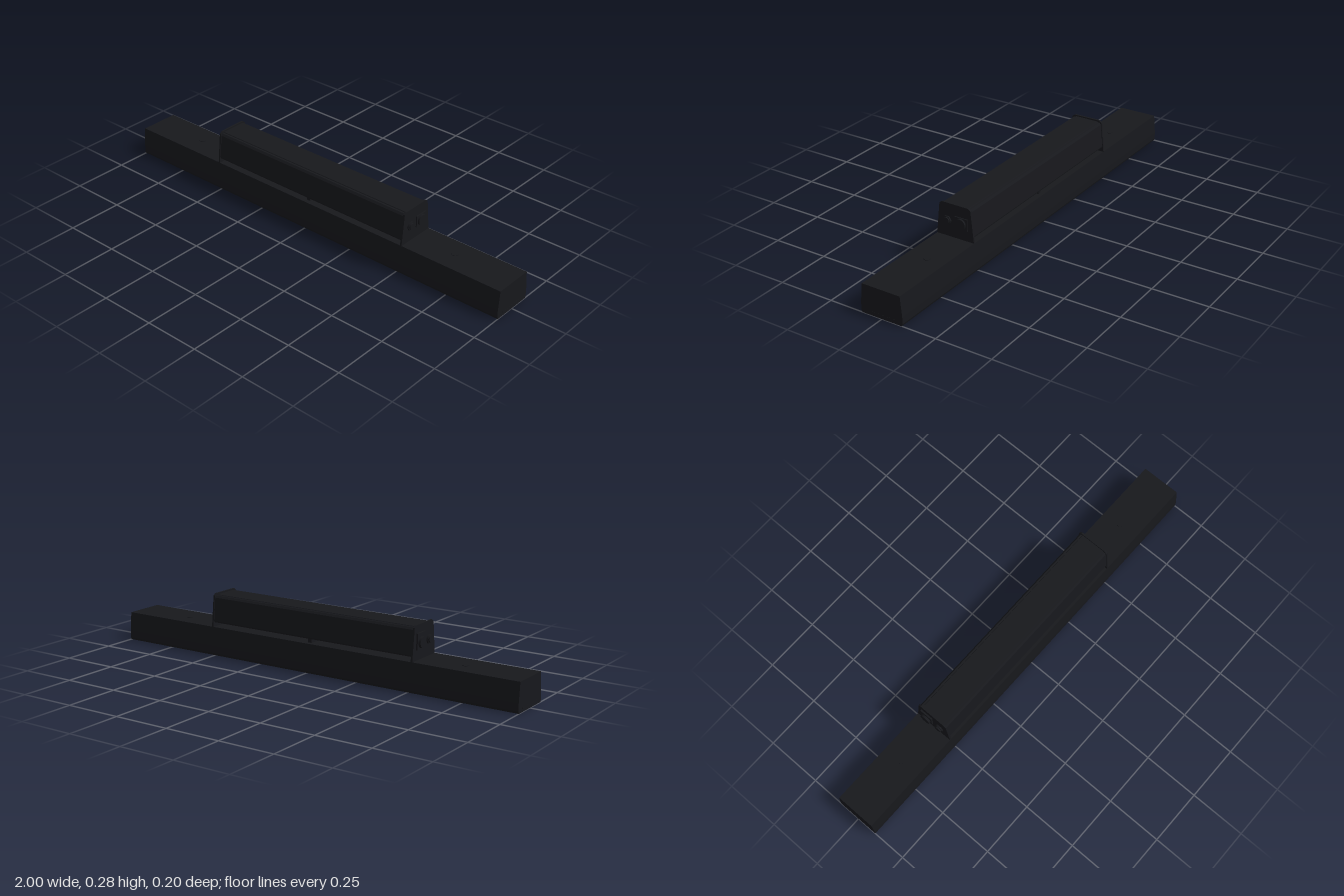
import * as THREE from 'three';

const material = new THREE.MeshStandardMaterial({ color: 0x17181c });

function add(group, name, geometry, x = 0, y = 0, z = 0) {
  const mesh = new THREE.Mesh(geometry, material);
  mesh.name = name;
  mesh.position.set(x, y, z);
  group.add(mesh);
  return mesh;
}

// Cross-section from [z, y] points, extruded along x and centred
function bar(points, length) {
  const shape = new THREE.Shape(points.map(([z, y]) => new THREE.Vector2(z, y)));
  return new THREE.ExtrudeGeometry(shape, { depth: length, bevelEnabled: false })
    .translate(0, 0, -length / 2)
    .rotateY(-Math.PI / 2);
}

// Complete a half profile (bottom to top, z > 0) by mirroring
const mirror = (half) => [...half, ...half.map(([z, y]) => [-z, y]).reverse()];

// Round part with its axis along x
const rod = (r, length, sides = 24) =>
  new THREE.CylinderGeometry(r, r, length, sides).rotateZ(Math.PI / 2);

export function createModel() {
  const model = new THREE.Group();
  model.name = 'linearLightFixture';

  // Long lower housing: an open channel underneath, closed by end caps
  const outer = [[0.094, 0], [0.098, 0.01], [0.098, 0.042], [0.09, 0.128]];
  add(model, 'lowerHousing', bar(mirror([[0.084, 0.012], [0.084, 0], ...outer]), 1.97));
  for (const side of [-1, 1]) {
    add(model, 'lowerEndCap', bar(mirror(outer), 0.015), side * 0.9925);
    add(model, 'endCapSlot', new THREE.BoxGeometry(0.002, 0.008, 0.124), side * 0.9995, 0.014);
  }
  add(model, 'lightPanel', new THREE.BoxGeometry(1.95, 0.008, 0.15), 0, 0.009);

  // Raised driver housing with a shallow cover on top
  add(model, 'driverHousing', bar(mirror([
    [0.082, 0.148], [0.084, 0.154], [0.073, 0.258], [0.066, 0.267],
    [0.058, 0.267], [0.056, 0.27],
  ]), 1.02));

  // Thin end brackets and a centre post carry the driver housing
  const bracket = mirror([[0.09, 0.127], [0.087, 0.155], [0.075, 0.267], [0.063, 0.276]]);
  for (const side of [-1, 1]) add(model, 'endBracket', bar(bracket, 0.008), side * 0.514);
  add(model, 'centrePost', new THREE.BoxGeometry(0.018, 0.024, 0.14), 0, 0.138);

  // Socket with square flange and small cable gland on the left end
  add(model, 'socketFlange', new THREE.BoxGeometry(0.006, 0.052, 0.06), 0.52, 0.201, -0.031);
  add(model, 'socketCollar', rod(0.024, 0.014), 0.524, 0.201, -0.031);
  add(model, 'glandNut', rod(0.02, 0.008, 6), 0.521, 0.2, 0.037);
  add(model, 'gland', rod(0.015, 0.016), 0.523, 0.2, 0.037);

  // Matching connectors on the right end
  add(model, 'plugFlange', new THREE.BoxGeometry(0.008, 0.07, 0.06), -0.521, 0.207, -0.031);
  add(model, 'plugCollar', rod(0.024, 0.018), -0.526, 0.201, -0.031);
  add(model, 'plugGlandNut', rod(0.02, 0.008, 6), -0.521, 0.2, 0.037);
  add(model, 'plugGland', rod(0.015, 0.016), -0.524, 0.2, 0.037);

  // Small mounting studs on top of the lower housing
  for (const side of [-1, 1]) {
    add(model, 'mountingStud', new THREE.CylinderGeometry(0.015, 0.015, 0.003, 20),
      side * 0.715, 0.1285, -0.005);
  }

  return model;
}
